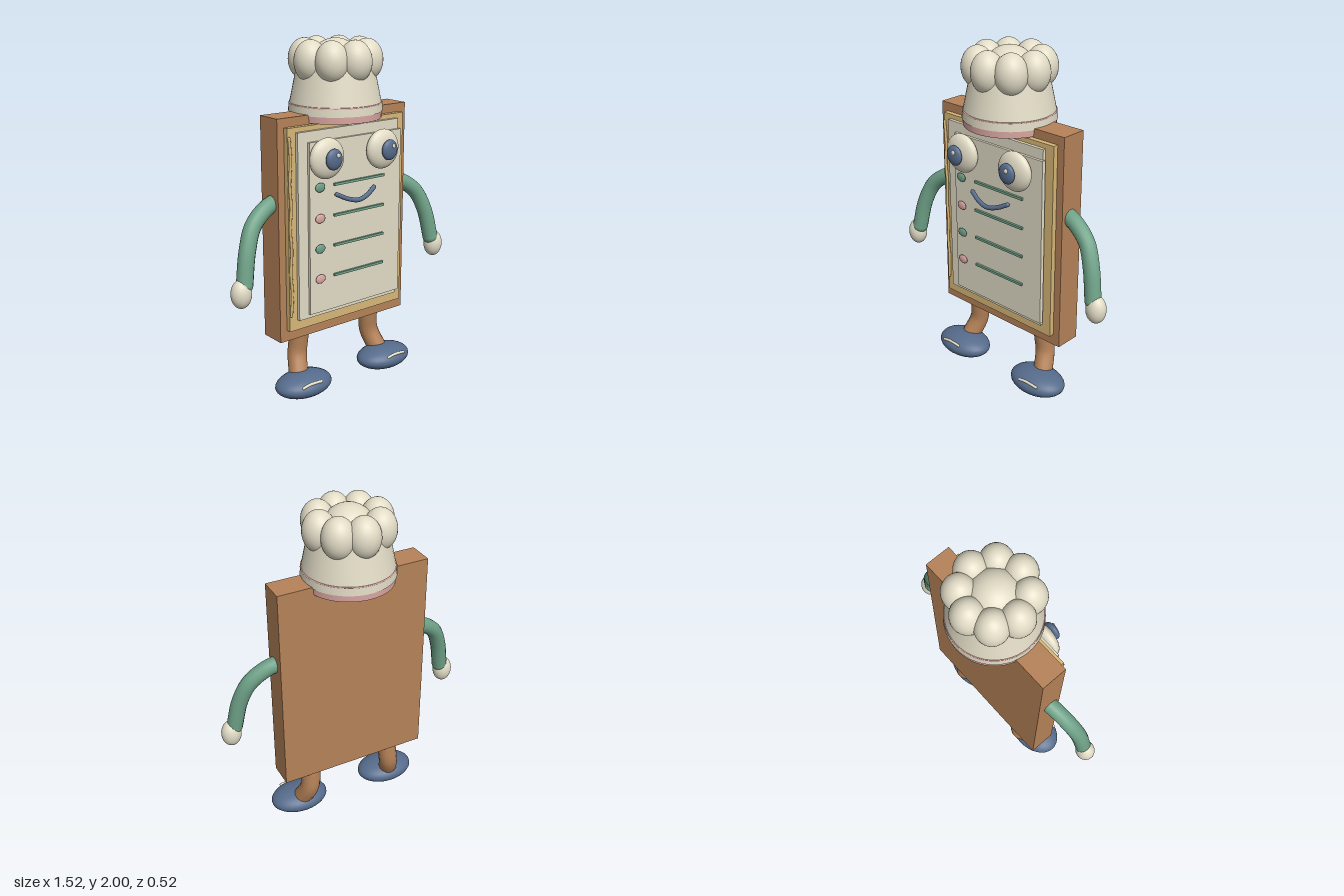
import * as THREE from 'three';

const mat = (name, color) => {
  const m = new THREE.MeshStandardMaterial({ color });
  m.name = name;
  return m;
};

export function createModel() {
  const group = new THREE.Group();
  const brown = mat('brown', 0xb58258);
  const tan = mat('tan', 0xd8b778);
  const cream = mat('cream', 0xe2dcc6);
  const blue = mat('blue', 0x566c8c);
  const green = mat('green', 0x6fa288);
  const pink = mat('pink', 0xdca8a4);

  const add = (name, geometry, material, x = 0, y = 0, z = 0) => {
    const mesh = new THREE.Mesh(geometry, material);
    mesh.name = name;
    mesh.position.set(x, y, z);
    group.add(mesh);
    return mesh;
  };
  // Box given by its extents
  const slab = (name, m, x0, x1, y0, y1, z0, z1) =>
    add(name, new THREE.BoxGeometry(x1 - x0, y1 - y0, z1 - z0), m, (x0 + x1) / 2, (y0 + y1) / 2, (z0 + z1) / 2);
  const ball = (name, m, x, y, z, rx, ry, rz) =>
    add(name, new THREE.SphereGeometry(1, 32, 20), m, x, y, z).scale.set(rx, ry, rz);
  // Round tube through points, mirrored by side, with closed rounded ends
  const limb = (name, m, side, points, r) => {
    const pts = points.map(([x, y, z]) => new THREE.Vector3(x * side, y, z));
    add(name, new THREE.TubeGeometry(new THREE.CatmullRomCurve3(pts), 28, r, 14), m);
    for (const p of [pts[0], pts[pts.length - 1]]) ball(name + 'End', m, p.x, p.y, p.z, r, r, r);
  };

  // Book: cover, backing sheet and two loose pages
  slab('cover', brown, -0.45, 0.45, 0.36, 1.615, -0.076, 0.078);
  slab('backingSheet', tan, -0.407, 0.407, 0.425, 1.565, 0.07, 0.108);
  slab('lowerPage', cream, -0.354, 0.352, 0.484, 1.538, 0.1, 0.127);
  slab('upperPage', cream, -0.29, 0.362, 0.508, 1.48, 0.12, 0.143);

  // Binding cord along the left edge of the page
  const cord = [];
  for (let i = 0; i <= 8; i++) cord.push([-0.395 + (i % 2 ? 0.004 : -0.004), 0.52 + i * 0.124, 0.113]);
  limb('bindingCord', tan, 1, cord, 0.008);

  // List of bullets and ruled lines
  [1.231, 1.057, 0.885, 0.71].forEach((y, i) => {
    ball('bullet', i % 2 ? pink : green, -0.229, y, 0.156, 0.033, 0.026, 0.009);
    slab('listLine', green, -0.127, 0.23, y - 0.007, y + 0.007, 0.138, 0.156);
  });

  // Smile
  limb('smile', blue, 1, [[-0.125, 1.178, 0.17], [-0.06, 1.147, 0.188], [0.008, 1.132, 0.195],
    [0.075, 1.147, 0.188], [0.14, 1.178, 0.17]], 0.013);

  for (const side of [-1, 1]) {
    // Eyes
    ball('eye', cream, side * 0.197, 1.39, 0.174, 0.112, 0.112, 0.048);
    ball('pupil', blue, side * 0.196, 1.394, 0.235, 0.053, 0.058, 0.024);
    ball('eyeGlint', cream, side * 0.196 + 0.012, 1.417, 0.255, 0.012, 0.013, 0.007);
    // Arms and hands
    limb('arm', green, side, [[0.42, 1.155, 0.005], [0.5, 1.125, 0.02], [0.59, 1.052, 0.04],
      [0.645, 0.93, 0.065], [0.68, 0.76, 0.085]], 0.046);
    ball('hand', cream, side * 0.703, 0.715, 0.086, 0.058, 0.08, 0.054);
    // Legs and shoes
    limb('leg', brown, side, [[0.26, 0.41, 0], [0.261, 0.32, -0.012], [0.272, 0.22, -0.014],
      [0.3, 0.11, 0.035]], 0.057);
    ball('shoe', blue, side * 0.302, 0.075, 0.086, 0.178, 0.07, 0.127);
    limb('lace', cream, 1, [-0.062, -0.02, 0.02, 0.062].map((dx, i) =>
      [side * 0.317 + dx, [0.105, 0.112, 0.112, 0.109][i], 0.19]), 0.008);
  }

  // Baker's hat: sweatband, brim band, piping and flaring crown
  add('hatSweatband', new THREE.CylinderGeometry(0.257, 0.255, 0.04, 48), pink, 0, 1.59);
  add('hatBand', new THREE.CylinderGeometry(0.258, 0.261, 0.045, 48), cream, 0, 1.63);
  add('hatPiping', new THREE.TorusGeometry(0.254, 0.005, 8, 48), pink, 0, 1.652).rotation.x = Math.PI / 2;
  add('hatCrown', new THREE.CylinderGeometry(0.208, 0.255, 0.225, 48), cream, 0, 1.7625);

  // Ring of puffs around a central puff
  for (let i = 0; i < 8; i++) {
    const a = (i * Math.PI) / 4;
    ball('hatPuff', cream, Math.sin(a) * 0.17, 1.885, Math.cos(a) * 0.17, 0.091, 0.115, 0.091);
  }
  ball('hatTopPuff', cream, 0, 1.87, 0, 0.14, 0.13, 0.14);

  return group;
}
